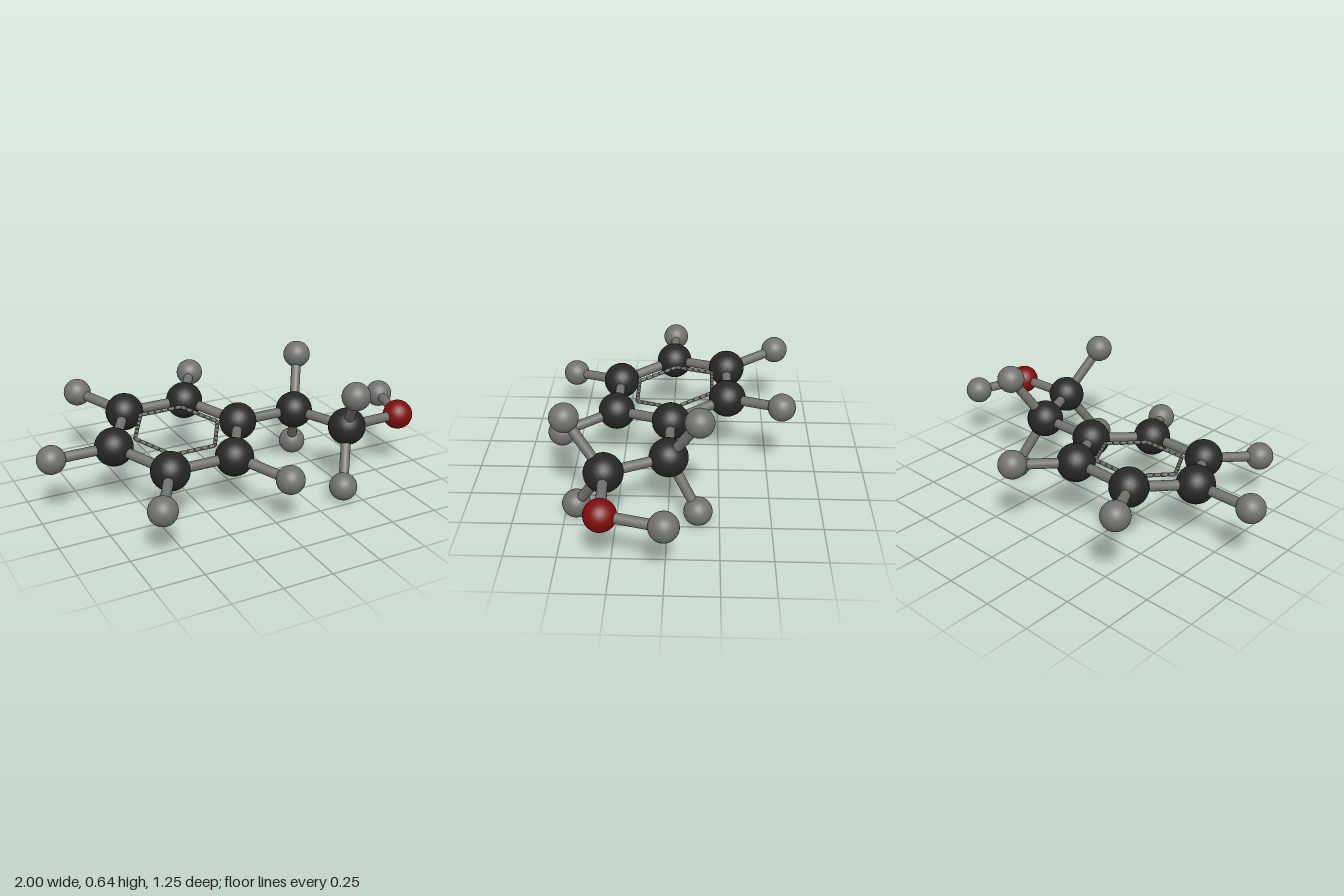
import * as THREE from 'three';

export function createModel() {
  const model = new THREE.Group();
  const mat = (name, color) => {
    const m = new THREE.MeshStandardMaterial({ color });
    m.name = name;
    return m;
  };
  const black = mat('carbonBlack', 0x262626);
  const grey = mat('paleGrey', 0x71726d);
  const red = mat('oxygenRed', 0x800c0c);

  const V = (x, y, z) => new THREE.Vector3(x, y, z);

  function ball(name, p, radius, material) {
    const m = new THREE.Mesh(new THREE.IcosahedronGeometry(radius, 4), material);
    m.name = name;
    m.position.copy(p);
    model.add(m);
    return p;
  }
  const carbon = (name, p) => ball(name, p, 0.095, black);
  const hydrogen = (name, p) => ball(name, p, 0.07, grey);

  // Cylinder between two points
  function rod(name, a, b, radius, sides, parent = model) {
    const d = b.clone().sub(a);
    const m = new THREE.Mesh(new THREE.CylinderGeometry(radius, radius, d.length(), sides), grey);
    m.name = name;
    m.position.copy(a).add(b).multiplyScalar(0.5);
    m.quaternion.setFromUnitVectors(V(0, 1, 0), d.normalize());
    parent.add(m);
  }
  const bond = (a, b) => rod('bond', a, b, 0.025, 16);

  // Point on a hexagon lying in the gently tilted ring plane
  function hexPoint(i, rx, rz, cx, cy, cz) {
    const a = (i * Math.PI) / 3;
    const z = rz * Math.sin(a);
    return V(cx + rx * Math.cos(a), cy - 0.147 * z, cz + z);
  }

  // Six-carbon ring; corner 0 carries the side chain, the rest a hydrogen
  const ring = [];
  for (let i = 0; i < 6; i++) {
    ring.push(carbon('ringCarbon', hexPoint(i, 0.337, 0.33, -0.282, 0.332, -0.002)));
  }
  ring.forEach((p, i) => {
    bond(p, ring[(i + 1) % 6]);
    if (i > 0) {
      bond(p, hydrogen('ringHydrogen', hexPoint(i, 0.65, 0.639, -0.282, 0.332, -0.002)));
    }
  });

  // Dashed inner hexagon
  const dashes = new THREE.Group();
  dashes.name = 'dashedRing';
  model.add(dashes);
  const count = 6;
  for (let i = 0; i < 6; i++) {
    const a = hexPoint(i, 0.225, 0.225, -0.28, 0.346, -0.014);
    const b = hexPoint(i + 1, 0.225, 0.225, -0.28, 0.346, -0.014);
    for (let k = 0; k < count; k++) {
      rod('dash', a.clone().lerp(b, (k + 0.1) / count), a.clone().lerp(b, (k + 0.9) / count), 0.01, 8, dashes);
    }
  }

  // Side chain
  const inner = carbon('innerChainCarbon', V(0.388, 0.33, -0.003));
  const outer = carbon('outerChainCarbon', V(0.522, 0.325, 0.295));
  const oxygen = ball('oxygen', V(0.848, 0.321, 0.28), 0.076, red);
  bond(ring[0], inner);
  bond(inner, outer);
  bond(outer, oxygen);
  bond(oxygen, hydrogen('oxygenHydrogen', V(0.926, 0.323, 0)));
  for (const p of [V(0.484, 0.577, -0.148), V(0.468, 0.078, -0.146)]) {
    bond(inner, hydrogen('innerChainHydrogen', p));
  }
  for (const p of [V(0.441, 0.568, 0.476), V(0.417, 0.076, 0.443)]) {
    bond(outer, hydrogen('outerChainHydrogen', p));
  }
  return model;
}
